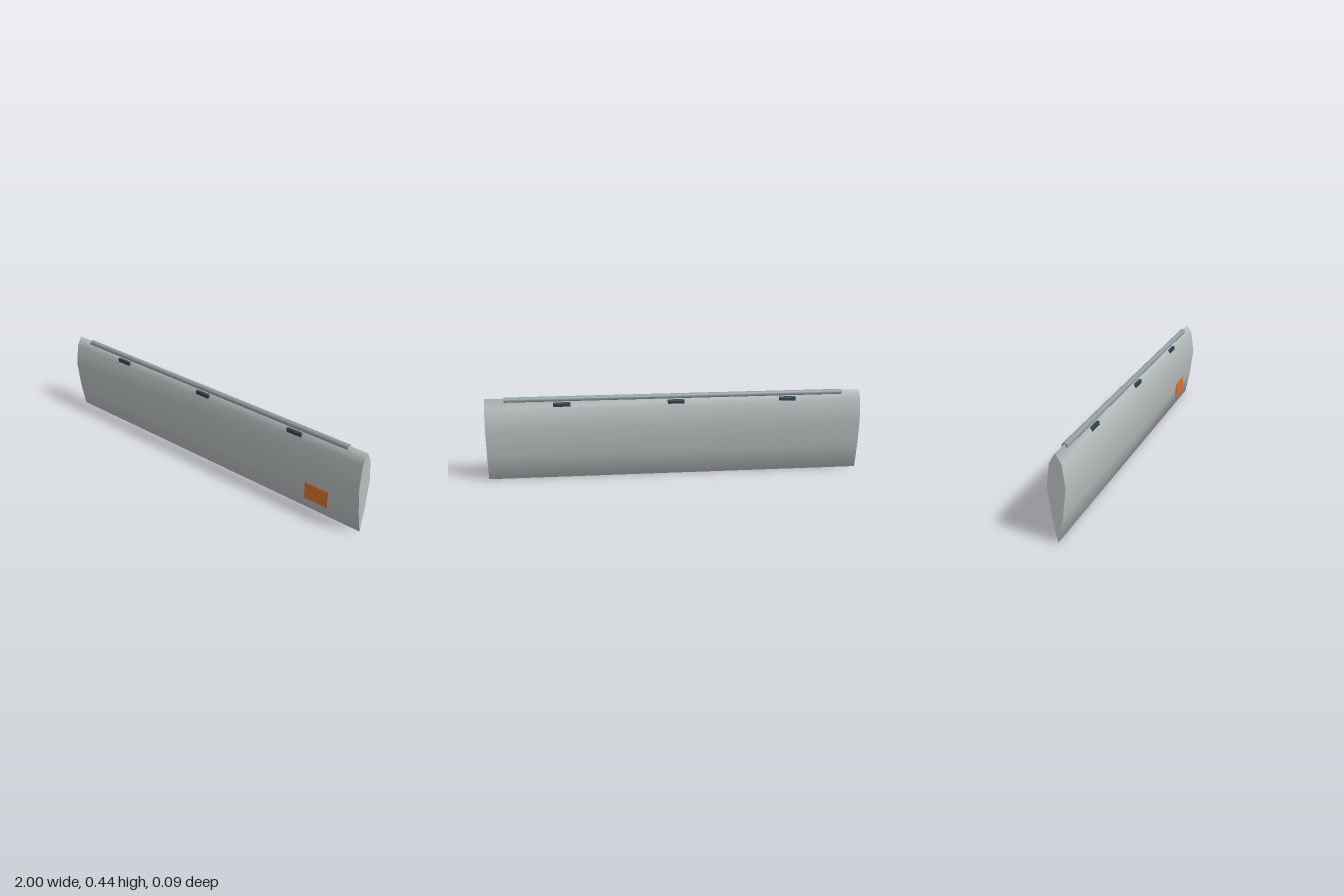
import * as THREE from 'three';
import { RoundedBoxGeometry } from 'three/addons/geometries/RoundedBoxGeometry.js';

const mat = (name, color) => new THREE.MeshStandardMaterial({ name, color });

export function createModel() {
  const group = new THREE.Group();
  const shellGrey = mat('shell grey', 0xb9bebe);
  const rodGrey = mat('rod grey', 0x8f9da3);
  const clipDark = mat('clip dark slate', 0x36424e);
  const orange = mat('panel orange', 0xd9702f);

  const add = (name, geometry, material, x = 0, y = 0, z = 0) => {
    const mesh = new THREE.Mesh(geometry, material);
    mesh.name = name;
    mesh.position.set(x, y, z);
    group.add(mesh);
    return mesh;
  };

  // Blade cross-section as [z, y], front side from bottom tip to top tip, then mirrored
  const front = [[0, 0], [0.027, 0.13], [0.0445, 0.275], [0.03, 0.39], [0, 0.44]];
  const loop = [...front, ...front.slice(1, -1).reverse().map(([z, y]) => [-z, y])];
  const n = loop.length;

  // Smooth skin swept along x, sharing vertices around the loop
  const positions = [], index = [];
  for (const x of [-1, 1]) for (const [z, y] of loop) positions.push(x, y, z);
  for (let i = 0; i < n; i++) {
    const j = (i + 1) % n;
    index.push(i, n + i, n + j, i, n + j, j);
  }
  const skin = new THREE.BufferGeometry();
  skin.setAttribute('position', new THREE.Float32BufferAttribute(positions, 3));
  skin.setIndex(index);
  skin.computeVertexNormals();
  add('bladeSkin', skin, shellGrey);

  // Flat end caps
  for (const side of [-1, 1]) {
    const outline = loop.map(([z, y]) => new THREE.Vector2(-side * z, y));
    const cap = add(side > 0 ? 'leftEndCap' : 'rightEndCap',
      new THREE.ShapeGeometry(new THREE.Shape(outline)), shellGrey, side);
    cap.rotation.y = side * Math.PI / 2;
  }

  // Hinge rod along the top edge
  const rod = new THREE.CylinderGeometry(0.015, 0.015, 1.8, 24).rotateZ(Math.PI / 2);
  add('hingeRod', rod, rodGrey, 0, 0.43, 0);

  // Clips straddling the top edge
  for (const x of [-0.6, 0, 0.6]) {
    add('clip', new RoundedBoxGeometry(0.09, 0.022, 0.057, 2, 0.004), clipDark, x, 0.405, 0);
  }

  // Small panel on the front
  add('frontPanel', new THREE.BoxGeometry(0.138, 0.09, 0.005), orange, 0.757, 0.116, 0.0292);

  return group;
}
